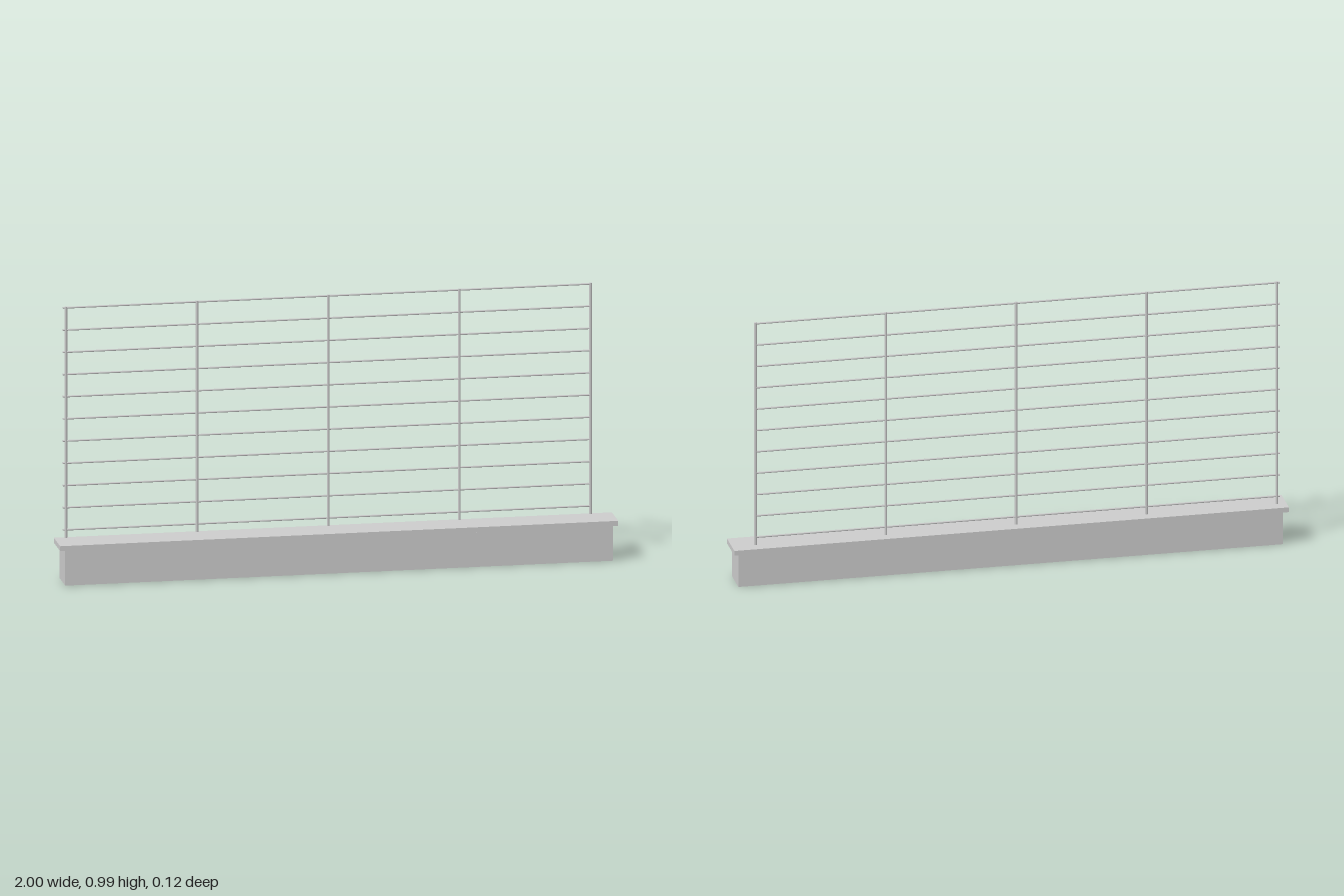
import * as THREE from 'three';

const material = new THREE.MeshStandardMaterial({ color: 0xcccccc });

// Box given by its minimum and maximum corners
function block(name, min, max) {
  const size = max.map((v, i) => v - min[i]);
  const mesh = new THREE.Mesh(new THREE.BoxGeometry(...size), material);
  mesh.position.set(...max.map((v, i) => (v + min[i]) / 2));
  mesh.name = name;
  return mesh;
}

// Round bar of given length, upright unless turned
function bar(name, radius, length, x, y, z) {
  const mesh = new THREE.Mesh(new THREE.CylinderGeometry(radius, radius, length, 12), material);
  mesh.position.set(x, y, z);
  mesh.name = name;
  return mesh;
}

export function createModel() {
  const model = new THREE.Group();
  model.name = 'railingOnWall';

  // Low wall with a coping that overhangs the ends and the back
  model.add(block('wall', [-0.982, 0, -0.045], [0.982, 0.126, 0.062]));
  model.add(block('coping', [-1, 0.126, -0.062], [1, 0.144, 0.062]));

  const railing = new THREE.Group();
  railing.name = 'railing';
  const z = -0.033, bottom = 0.15, top = 0.99;

  // Five evenly spaced posts
  for (let i = 0; i < 5; i++) {
    railing.add(bar('post', 0.005, top - bottom, -0.962 + i * 0.47, (top + bottom) / 2, z));
  }

  // Eleven horizontal rails, projecting slightly past the first post
  const start = -0.973, end = 0.919;
  for (let i = 0; i < 11; i++) {
    const rail = bar('rail', 0.0035, end - start, (start + end) / 2, 0.179 + i * 0.0807, z);
    rail.rotation.z = Math.PI / 2;
    railing.add(rail);
  }

  model.add(railing);
  return model;
}
